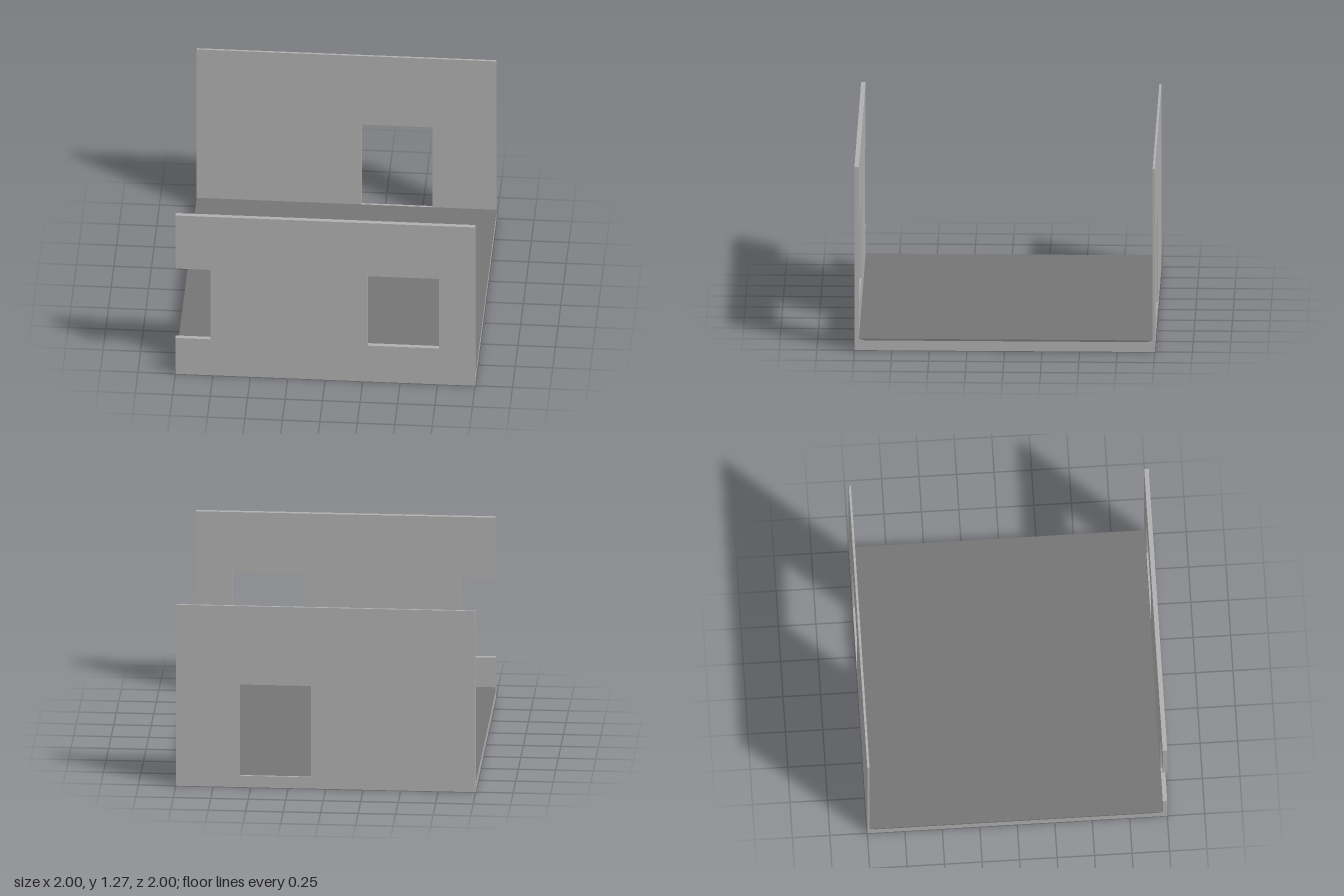
import * as THREE from 'three';

const lightGrey = new THREE.MeshStandardMaterial({ color: 0xb0b0b0 });
lightGrey.name = 'lightGrey';
const darkGrey = new THREE.MeshStandardMaterial({ color: 0x757575 });
darkGrey.name = 'darkGrey';

const HEIGHT = 1.27;
const FLOOR_TOP = 0.08;
const FRONT_IN = 0.97;  // inner face of the front wall
const BACK_IN = -0.985; // inner face of the back wall

const polygon = (points) => new THREE.Shape(points.map(([x, y]) => new THREE.Vector2(x, y)));

const rect = (x0, x1, y0, y1) => [[x0, y0], [x1, y0], [x1, y1], [x0, y1]];

// Upright wall: outline in x/y with one opening, from zBack to zFront
function wall(name, outline, opening, zBack, zFront) {
  const shape = polygon(outline);
  shape.holes.push(polygon(opening));
  const geometry = new THREE.ExtrudeGeometry(shape, { depth: zFront - zBack, bevelEnabled: false });
  geometry.translate(0, 0, zBack);
  const mesh = new THREE.Mesh(geometry, lightGrey);
  mesh.name = name;
  return mesh;
}

// Floor layer: profile in z/y running the whole width in x
function floorLayer(name, profile, material) {
  const geometry = new THREE.ExtrudeGeometry(polygon(profile), { depth: 2, bevelEnabled: false });
  geometry.translate(0, 0, -1).rotateY(-Math.PI / 2);
  const mesh = new THREE.Mesh(geometry, material);
  mesh.name = name;
  return mesh;
}

export function createModel() {
  const model = new THREE.Group();
  model.name = 'room';

  // Front wall with a window and a half window cut into its right end
  const notched = [
    [-1, 0], [1, 0], [1, HEIGHT], [-1, HEIGHT],
    [-1, 0.845], [-0.765, 0.845], [-0.765, 0.288], [-1, 0.288],
  ];
  model.add(wall('frontWall', notched, rect(0.283, 0.76, 0.288, 0.845), FRONT_IN, 1));

  // Back wall with a doorway starting at floor level
  model.add(wall('backWall', rect(-1, 1, 0, HEIGHT), rect(0.1, 0.573, FLOOR_TOP, 0.72), -1, BACK_IN));

  // Slab with a shallow tray, and the dark floor lying flush in it
  const tray = [[BACK_IN, FLOOR_TOP], [-0.945, 0.068], [0.93, 0.068], [FRONT_IN, FLOOR_TOP]];
  model.add(floorLayer('floorSlab', [[FRONT_IN, 0], [BACK_IN, 0], ...tray], lightGrey));
  model.add(floorLayer('floorSurface', tray, darkGrey));

  return model;
}
